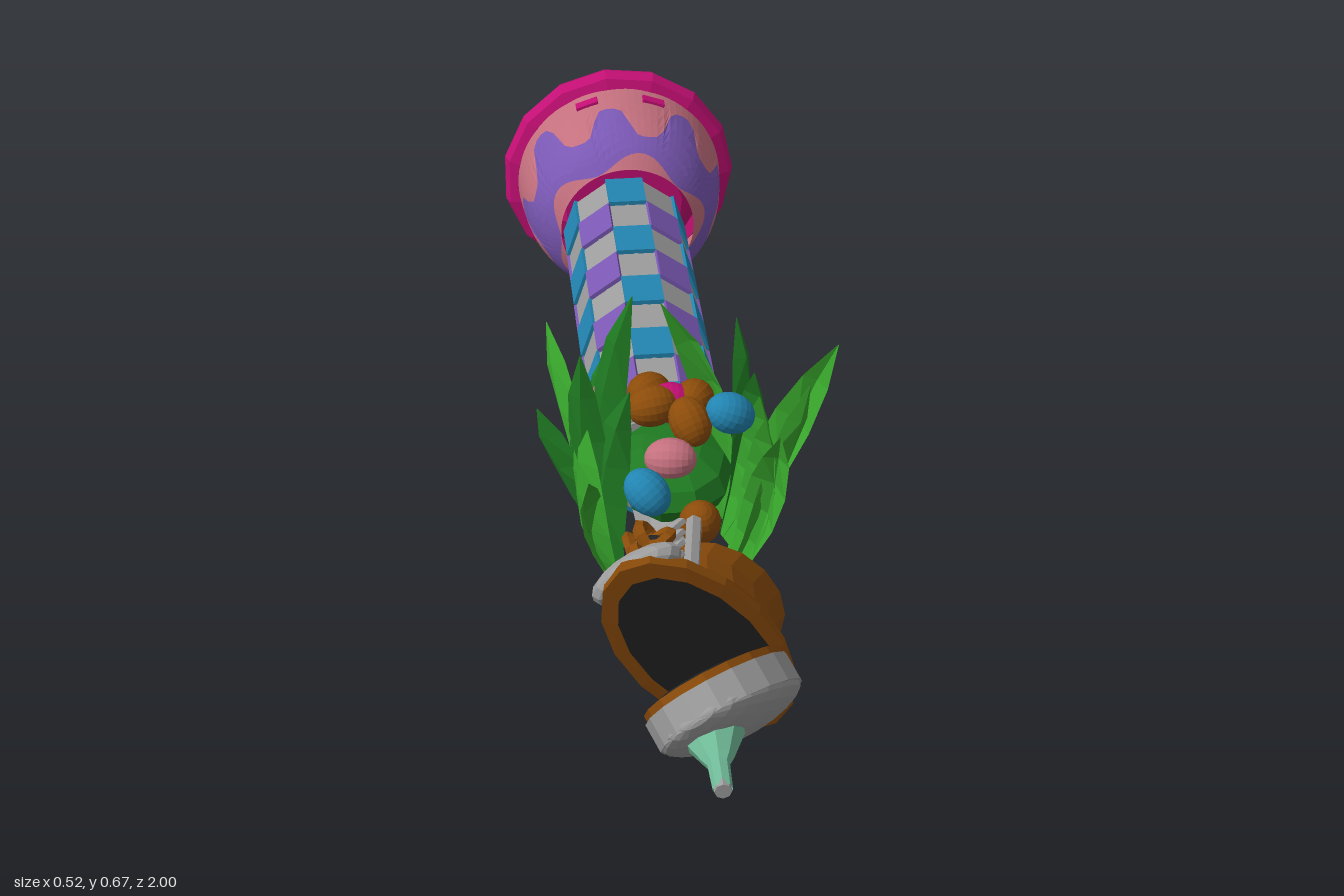
import * as THREE from 'three';

const mat = (name, color) => Object.assign(
  new THREE.MeshStandardMaterial({ color, flatShading: true, side: THREE.DoubleSide }), { name });
const M = {
  grey: mat('grey', 0x9c9c9c), blue: mat('blue', 0x2285b2), purple: mat('purple', 0x7a58b4),
  pink: mat('pink', 0xc4707e), magenta: mat('magenta', 0xc40f74), brown: mat('brown', 0x8c4c0a),
  black: mat('black', 0x242424), darkGreen: mat('dark green', 0x1f7a22),
  green: mat('leaf green', 0x38a62c), mint: mat('mint', 0x70ba98),
};
const V = (x, y, z) => new THREE.Vector3(x, y, z);
const AX = -0.032, AY = 0.262; // barrel axis

function add(parent, name, geo, material, x = 0, y = 0, z = 0) {
  const m = new THREE.Mesh(geo, material);
  m.name = name;
  m.position.set(x, y, z);
  parent.add(m);
  return m;
}

// Skin a list of equally long point rows
function loft(rows) {
  const n = rows[0].length, pos = [], idx = [];
  rows.forEach(r => r.forEach(p => pos.push(p.x, p.y, p.z)));
  for (let i = 0; i < rows.length - 1; i++) for (let j = 0; j < n - 1; j++) {
    const a = i * n + j, b = a + n;
    idx.push(a, a + 1, b, a + 1, b + 1, b);
  }
  const g = new THREE.BufferGeometry();
  g.setAttribute('position', new THREE.Float32BufferAttribute(pos, 3));
  g.setIndex(idx);
  g.computeVertexNormals();
  return g;
}

const rod = (r0, r1, len, n) => new THREE.CylinderGeometry(r0, r1, len, n).rotateX(Math.PI / 2);

// Ten-sided barrel: nine rings of chequered blocks
function barrel() {
  const g = new THREE.Group();
  g.name = 'barrel';
  g.position.set(AX, AY, 0);
  add(g, 'barrelCore', rod(0.108, 0.108, 0.838, 10), M.grey, 0, 0, -0.319);
  for (let ring = 0; ring < 9; ring++) for (let k = 0; k < 10; k++) {
    const painted = (ring + k) % 2 === 0;
    const material = painted ? (ring % 2 ? M.purple : M.blue) : M.grey;
    const a = Math.PI / 2 + k * Math.PI / 5, d = painted ? 0.104 : 0.099;
    const block = add(g, 'barrelBlock', new THREE.BoxGeometry(0.022, 0.073, painted ? 0.092 : 0.082),
      material, d * Math.cos(a), d * Math.sin(a), 0.054 - ring * 0.0932);
    block.rotation.z = a;
  }
  return g;
}

// Flared bell with a wavy painted band
function bell() {
  const g = new THREE.Group();
  g.name = 'bell';
  g.position.set(AX + 0.007, AY, 0);
  const profile = new THREE.CatmullRomCurve3(
    [V(0.132, 0, -0.74), V(0.165, 0, -0.775), V(0.192, 0, -0.84), V(0.208, 0, -0.97)]);
  const band = (name, material, f0, f1) => {
    const rows = [];
    for (let i = 0; i <= 5; i++) {
      const row = [];
      for (let j = 0; j <= 84; j++) {
        const a = j / 84 * Math.PI * 2;
        const p = profile.getPoint(THREE.MathUtils.lerp(f0(a), f1(a), i / 5));
        row.push(V(p.x * Math.cos(a), p.x * Math.sin(a), p.z));
      }
      rows.push(row);
    }
    add(g, name, loft(rows), material);
  };
  const low = a => 0.13 + 0.12 * Math.sin(5 * a + 1);
  const high = a => 0.66 + 0.16 * Math.tanh(2 * Math.sin(8 * a + 0.6)) + 0.05 * Math.sin(3 * a);
  band('bellThroat', M.pink, () => 0, low);
  band('bellDrips', M.purple, low, high);
  band('bellEdge', M.pink, high, () => 1);
  for (const a of [1.23, 1.9]) {
    const spot = add(g, 'bellSpot', new THREE.BoxGeometry(0.008, 0.045, 0.022), M.magenta,
      0.202 * Math.cos(a), 0.202 * Math.sin(a), -0.91);
    spot.rotation.z = a;
  }
  add(g, 'bellRim', new THREE.TorusGeometry(0.206, 0.029, 8, 15), M.magenta, 0, 0, -0.971);
  add(g, 'bellLining', new THREE.CylinderGeometry(0.115, 0.195, 0.14, 15, 1, true).rotateX(Math.PI / 2),
    M.magenta, 0, 0, -0.9);
  // muzzle plate inside the bell, with painted patches
  add(g, 'bellBack', rod(0.118, 0.118, 0.01, 15), M.magenta, 0, 0, -0.83);
  add(g, 'muzzlePlate', rod(0.118, 0.118, 0.008, 4).rotateZ(0.4), M.grey, 0, 0, -0.836);
  add(g, 'greenPatch', rod(0.048, 0.048, 0.008, 6), M.green, 0.005, -0.042, -0.841);
  add(g, 'purplePatch', rod(0.028, 0.028, 0.008, 5), M.purple, 0.025, 0.06, -0.841);
  return g;
}

// Folded grass blade rising from the barrel's side; twist turns its face to the front
function blade(parent, side, z, tip, width, twist, material) {
  const base = V(AX + side * 0.09, 0.175, z);
  const mid = V(THREE.MathUtils.lerp(AX + side * 0.16, tip.x, 0.25), 0.18 + (tip.y - 0.18) * 0.55,
    THREE.MathUtils.lerp(z, tip.z, 0.35));
  const curve = new THREE.QuadraticBezierCurve3(base, mid, tip);
  const rows = [0.7, 0.95, 1, 0.85, 0.55, 0.02].map((w, i) => {
    const p = curve.getPoint(i / 5), t = curve.getTangent(i / 5);
    const across = V(Math.sin(twist * i / 3), 0, Math.cos(twist * i / 3));
    across.addScaledVector(t, -across.dot(t)).normalize();
    const out = across.clone().cross(t).normalize();
    if (out.x * side < 0) out.negate();
    const h = w * width / 2;
    return [p.clone().addScaledVector(across, -h), p.clone().addScaledVector(out, h * 0.5),
      p.clone().addScaledVector(across, h)];
  });
  add(parent, 'grassBlade', loft(rows), material);
}

function nest() {
  const g = new THREE.Group();
  g.name = 'nest';
  add(g, 'innerBarrel', rod(0.05, 0.07, 0.36, 8), M.grey, AX, 0.235, 0.28);
  add(g, 'nestFloor', new THREE.SphereGeometry(1, 10, 6).scale(0.105, 0.06, 0.135), M.darkGreen, AX, 0.345, 0.24);
  // broad leaves wrapping both sides
  for (const side of [-1, 1]) for (const z of [0.17, 0.245, 0.32])
    blade(g, side, z, V(AX + side * 0.15, 0.49, z), 0.135, 0.3, z > 0.2 ? M.green : M.darkGreen);
  // long blades: side, base z, tip, twist
  [['darkGreen', -1, 0.2, -0.095, 0.675, 0.2, 0.7], ['darkGreen', -1, 0.28, -0.19, 0.62, 0.29, 0.9],
    ['green', -1, 0.16, -0.23, 0.51, 0, 0.5], ['darkGreen', -1, 0.22, -0.26, 0.46, 0.2, 0.8],
    ['green', -1, 0.32, -0.19, 0.47, 0.45, -0.5], ['darkGreen', -1, 0.3, -0.11, 0.555, 0.31, 0.9],
    ['green', 1, 0.16, -0.04, 0.615, 0.13, 0.8], ['green', 1, 0.23, 0.255, 0.57, 0.22, 0.9],
    ['green', 1, 0.29, 0.2, 0.53, 0.28, -0.8], ['green', 1, 0.32, 0.14, 0.48, 0.36, 0.8],
    ['darkGreen', 1, 0.16, 0.1, 0.53, 0.05, -0.5], ['darkGreen', -1, 0.16, -0.12, 0.5, 0.06, 0.6],
  ].forEach(([c, s, z, x, y, tz, twist]) => blade(g, s, z, V(x, y, tz), 0.09, twist, M[c]));
  // eggs
  [['pink', -0.13, 0.42, 0.13], ['brown', -0.06, 0.43, 0.12], ['brown', -0.06, 0.44, 0.18],
    ['magenta', -0.02, 0.43, 0.16], ['brown', 0.015, 0.43, 0.15], ['brown', 0, 0.44, 0.235],
    ['blue', 0.07, 0.45, 0.23], ['pink', -0.04, 0.41, 0.3], ['blue', -0.085, 0.385, 0.36],
    ['brown', 0, 0.345, 0.4],
  ].forEach(([c, x, y, z], i) => {
    const egg = add(g, 'egg', new THREE.SphereGeometry(0.036, 16, 12).scale(1, 1.25, 1), M[c], x, y, z);
    egg.rotation.set(i * 1.1, 0, i * 0.7);
  });
  return g;
}

// Rounded grip hanging under the barrel
function grip(name, z, bottom, size, tilt) {
  const s = new THREE.CapsuleGeometry(0.025, 0.24 - bottom - 0.05, 3, 8).scale(1, 1, size / 0.05);
  const m = new THREE.Mesh(s, M.grey);
  m.name = name;
  m.position.set(AX, (0.24 + bottom) / 2, z);
  m.rotation.x = tilt;
  return m;
}

// Worn boot: shaft to the back, sole peeled away to the front
function boot() {
  const g = new THREE.Group();
  g.name = 'boot';
  g.position.set(-0.02, 0.26, 0);
  g.rotation.z = 0.61;
  const ring = ([z, lo, hi, w, tilt]) => Array.from({ length: 17 }, (_, j) => {
    const a = j / 16 * Math.PI * 2, y = (lo + hi) / 2 + (hi - lo) / 2 * Math.sin(a);
    return V(0.01 + w * Math.cos(a), y, z + tilt * y);
  });
  const rings = [[0.455, -0.215, 0.09, 0.1, 0.12], [0.51, -0.17, 0.11, 0.088, 0.05], [0.57, -0.165, 0.125, 0.092, 0.02],
    [0.62, -0.19, 0.18, 0.11, 0.05], [0.65, -0.205, 0.25, 0.118, 0.1], [0.675, -0.2, 0.26, 0.118, 0.14]].map(ring);
  add(g, 'bootUpper', loft(rings), M.brown);
  const centre = ring([0.672, 0.03, 0.03, 0, 0.14]);
  add(g, 'bootCavity', loft([ring([0.674, -0.17, 0.225, 0.096, 0.14]), centre]), M.black);
  add(g, 'bootLip', loft([rings[5], ring([0.677, -0.17, 0.225, 0.096, 0.14])]), M.brown);
  add(g, 'bootCollar', loft([rings[0], ring([0.47, -0.06, -0.06, 0, 0.1])]), M.brown);
  const cap = add(g, 'toeCap', new THREE.SphereGeometry(1, 14, 8).scale(0.085, 0.045, 0.032), M.grey, 0.01, 0.205, 0.658);
  cap.rotation.x = 0.5;
  // sole flap: grey shell with raised wall, brown welt, black inside
  const flap = new THREE.Group();
  flap.name = 'soleFlap';
  flap.position.set(0.002, -0.055, 0.757);
  flap.rotation.x = 0.83;
  g.add(flap);
  add(flap, 'soleShell', new THREE.SphereGeometry(1, 20, 12).scale(0.121, 0.183, 0.042), M.grey);
  add(flap, 'soleEdge', rod(1, 1, 0.05, 18).scale(0.123, 0.183, 1), M.grey, 0, 0, -0.02);
  add(flap, 'soleWelt', rod(1, 1, 0.014, 18).scale(0.118, 0.177, 1), M.brown, 0, 0, -0.052);
  add(flap, 'soleInside', rod(1, 1, 0.008, 18).scale(0.096, 0.158, 1), M.black, 0, 0, -0.06);
  // laces and bow
  const lace = [];
  for (let i = 0; i < 9; i++) lace.push(V(0.01 + (i % 2 ? 0.055 : -0.055), 0.12 + i * 0.004, 0.45 + i * 0.02));
  add(g, 'laces', new THREE.TubeGeometry(new THREE.CatmullRomCurve3(lace), 48, 0.008, 5), M.grey);
  for (const s of [-1, 1]) {
    const edge = new THREE.LineCurve3(V(0.01 + s * 0.06, 0.09, 0.44), V(0.01 + s * 0.06, 0.13, 0.62));
    add(g, 'laceEdge', new THREE.TubeGeometry(edge, 1, 0.014, 6), M.grey);
  }
  add(g, 'bowKnot', new THREE.IcosahedronGeometry(0.032, 1).scale(1.2, 0.6, 1.2), M.black, 0.01, 0.158, 0.55);
  for (let i = 0; i < 5; i++) {
    const a = i * 1.257, bow = add(g, 'bow', new THREE.TorusGeometry(0.024, 0.011, 5, 10), M.brown,
      0.01 + 0.028 * Math.cos(a), 0.166, 0.55 + 0.028 * Math.sin(a));
    bow.rotation.set(1.2 + i * 0.2, i * 0.4, i);
  }
  return g;
}

// Tapered eight-sided nozzle, drooping towards its wide end
function nozzle() {
  const g = new THREE.Group();
  g.name = 'nozzle';
  const rows = [[0.74, 0.05, 0.24], [0.84, 0.053, 0.242], [0.92, 0.026, 0.257], [0.935, 0.018, 0.258], [0.995, 0.016, 0.258]]
    .map(([z, r, y]) => Array.from({ length: 9 }, (_, j) =>
      V(-0.026 + r * Math.cos(j * Math.PI / 4), y + r * 0.85 * Math.sin(j * Math.PI / 4), z)));
  add(g, 'nozzleCone', loft(rows), M.mint);
  add(g, 'nozzleTip', rod(0.014, 0.014, 0.02, 8), M.grey, -0.026, 0.258, 0.99);
  return g;
}

export function createModel() {
  const model = new THREE.Group();
  model.name = 'launcher';
  model.add(barrel(), bell(), nest(), boot(), nozzle(),
    grip('frontGrip', 0.35, 0.003, 0.08, -0.12), grip('rearGrip', 0.155, 0.08, 0.06, 0));
  return model;
}
